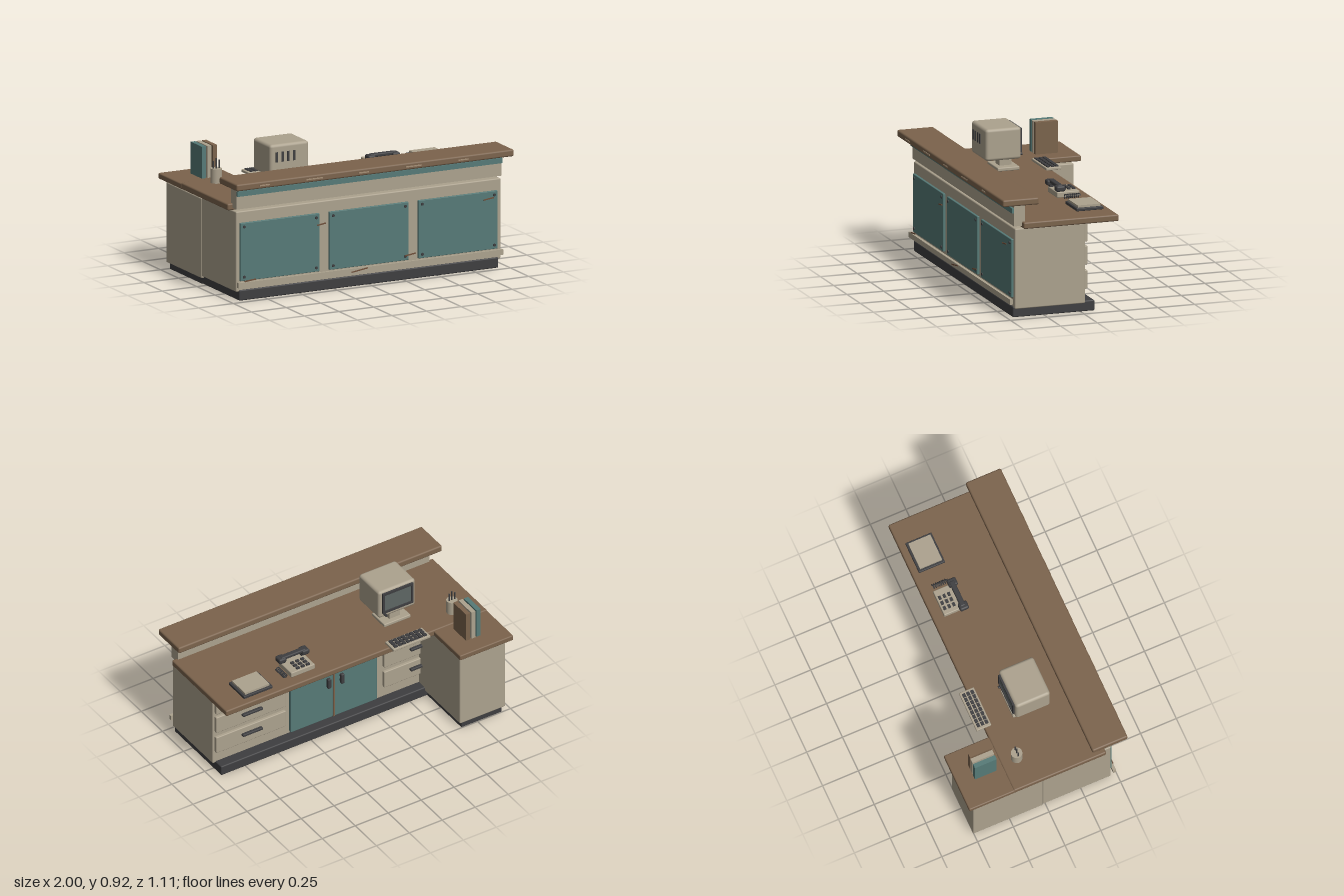
import * as THREE from 'three';
import { RoundedBoxGeometry } from 'three/addons/geometries/RoundedBoxGeometry.js';

const mat = (name, color) => Object.assign(new THREE.MeshStandardMaterial({ color }), { name });

export function createModel() {
  const root = new THREE.Group();
  root.name = 'receptionDesk';
  const wood = mat('brown wood', 0x7b634c);
  const beige = mat('beige laminate', 0xaca28e);
  const teal = mat('teal panel', 0x567a77);
  const dark = mat('charcoal plastic', 0x3e3e40);
  const screenGrey = mat('screen grey', 0x5d6663);
  const rust = mat('scuff brown', 0x6e4f3a);
  const pale = mat('pale scuff', 0xa58f76);

  // Box given by its extents; r > 0 bevels the edges
  function box(name, m, x0, x1, y0, y1, z0, z1, r = 0, parent = root) {
    const w = x1 - x0, h = y1 - y0, d = z1 - z0;
    const g = r ? new RoundedBoxGeometry(w, h, d, 2, r) : new THREE.BoxGeometry(w, h, d);
    const mesh = new THREE.Mesh(g, m);
    mesh.name = name;
    mesh.position.set((x0 + x1) / 2, (y0 + y1) / 2, (z0 + z1) / 2);
    parent.add(mesh);
    return mesh;
  }
  function cyl(name, m, r, h, x, y, z, sides = 16, parent = root) {
    const mesh = new THREE.Mesh(new THREE.CylinderGeometry(r, r, h, sides), m);
    mesh.name = name;
    mesh.position.set(x, y, z);
    parent.add(mesh);
    return mesh;
  }
  function group(name) {
    const g = new THREE.Group();
    g.name = name;
    root.add(g);
    return g;
  }

  // Plinths, cabinets and worktops
  box('plinth', dark, -0.935, 0.935, 0, 0.07, -0.095, 0.46, 0.008);
  box('wingPlinth', dark, -0.935, -0.63, 0, 0.05, -0.495, -0.05);
  box('cabinet', beige, -0.955, 0.955, 0.058, 0.587, -0.024, 0.453, 0.008);
  box('wingCabinet', beige, -0.955, -0.61, 0.043, 0.572, -0.51, -0.022, 0.008);
  box('worktop', wood, -0.99, 0.99, 0.588, 0.632, -0.24, 0.405, 0.01);
  box('wingWorktop', wood, -0.99, -0.585, 0.588, 0.626, -0.552, -0.23, 0.008);

  // Raised counter
  box('riser', beige, -0.955, 0.955, 0.604, 0.75, 0.385, 0.46);
  box('riserStripe', teal, -0.955, 0.955, 0.69, 0.724, 0.458, 0.474);
  box('raisedCounter', wood, -1, 1, 0.746, 0.792, 0.305, 0.55, 0.011);
  [-0.8, -0.44, -0.085, 0.275, 0.635].forEach((x, i) => {
    const half = i % 2 ? 0.058 : 0.037;
    box('counterScuff', pale, x - half, x + half, 0.764, 0.772, 0.547, 0.553);
  });

  // Front panels with corner bolts
  for (const x of [-0.645, -0.0025, 0.64]) {
    const g = group('frontPanel');
    box('panel', teal, x - 0.286, x + 0.286, 0.13, 0.512, 0.45, 0.468, 0.004, g);
    for (const sx of [-1, 1]) for (const y of [0.156, 0.486]) {
      cyl('bolt', dark, 0.01, 0.008, x + sx * 0.26, y, 0.469, 8, g).rotation.x = Math.PI / 2;
    }
  }
  box('bumperRail', beige, -0.955, 0.955, 0.09, 0.125, 0.468, 0.488);
  for (const [x, y, len, tilt] of [[-0.357, 0.444, 0.06, 0.14], [0.85, 0.47, 0.075, 0.12],
    [0.285, 0.17, 0.075, 0.14], [-0.87, 0.135, 0.08, 0.1], [-0.083, 0.11, 0.12, 0.14]]) {
    box('scuff', rust, x - len / 2, x + len / 2, y - 0.004, y + 0.004, 0.485, 0.49).rotation.z = tilt;
  }

  // Drawers and doors on the working side
  for (const x of [0.675, -0.6]) for (const y of [0.52, 0.37, 0.21]) {
    const g = group('drawer');
    box('drawerFront', beige, x - 0.265, x + 0.265, y - 0.062, y + 0.062, -0.045, -0.02, 0.006, g);
    box('drawerHandle', dark, x - 0.075, x + 0.075, y + 0.003, y + 0.021, -0.068, -0.044, 0.005, g);
  }
  for (const s of [-1, 1]) {
    const g = group('door'), x = 0.047 + s * 0.167;
    box('doorFront', teal, x - 0.16, x + 0.16, 0.08, 0.578, -0.043, -0.02, 0.004, g);
    const hx = 0.047 + s * 0.05;
    box('doorHandle', dark, hx - 0.012, hx + 0.012, 0.338, 0.412, -0.075, -0.05, 0.006, g);
    for (const y of [0.35, 0.385]) box('handlePost', dark, hx - 0.008, hx + 0.008, y, y + 0.014, -0.055, -0.042, 0, g);
  }
  box('doorDivider', wood, 0.04, 0.054, 0.08, 0.578, -0.047, -0.02);

  // Monitor, screen facing the working side
  const mon = group('monitor');
  box('monitorBase', beige, -0.535, -0.335, 0.632, 0.656, -0.045, 0.105, 0.006, mon);
  box('monitorNeck', beige, -0.475, -0.395, 0.65, 0.725, -0.01, 0.072, 0, mon);
  box('monitorCase', beige, -0.575, -0.295, 0.714, 0.924, -0.042, 0.2, 0.02, mon);
  box('screen', screenGrey, -0.54, -0.33, 0.765, 0.9, -0.046, -0.04, 0, mon);
  for (const y of [0.752, 0.893]) box('bezelBar', dark, -0.55, -0.32, y, y + 0.016, -0.054, -0.04, 0, mon);
  for (const x of [-0.55, -0.334]) box('bezelSide', dark, x, x + 0.014, 0.752, 0.909, -0.054, -0.04, 0, mon);
  cyl('monitorKnob', dark, 0.009, 0.022, -0.34, 0.737, -0.051, 10, mon).rotation.x = Math.PI / 2;
  for (let i = 0; i < 4; i++) {
    const x = -0.53 + i * 0.042;
    box('vent', dark, x - 0.008, x + 0.008, 0.808, 0.874, 0.197, 0.204, 0, mon);
  }

  // Keyboard
  const kb = group('keyboard');
  box('keyboardBody', beige, -0.525, -0.245, 0.634, 0.652, -0.295, -0.192, 0.004, kb);
  for (let r = 0; r < 3; r++) for (let c = 0; c < 8; c++) {
    const x = -0.495 + c * 0.0315, z = -0.272 + r * 0.029;
    box('key', dark, x - 0.0125, x + 0.0125, 0.65, 0.66, z - 0.01, z + 0.01, 0, kb);
  }

  // Telephone with handset and coiled cord
  const phone = group('telephone');
  box('phoneBody', beige, 0.27, 0.45, 0.632, 0.67, -0.168, -0.015, 0.006, phone);
  for (let r = 0; r < 3; r++) for (let c = 0; c < 3; c++) {
    const x = 0.313 + c * 0.038, z = -0.147 + r * 0.032;
    box('phoneKey', dark, x - 0.012, x + 0.012, 0.668, 0.68, z - 0.009, z + 0.009, 0, phone);
  }
  box('handsetGrip', dark, 0.265, 0.45, 0.694, 0.718, -0.056, -0.02, 0.008, phone);
  for (const x of [0.27, 0.445]) {
    box('handsetEnd', dark, x - 0.027, x + 0.027, 0.676, 0.714, -0.066, -0.004, 0.012, phone);
    box('cradle', dark, x - 0.012 + (0.357 - x) * 0.2, x + 0.012 + (0.357 - x) * 0.2, 0.664, 0.682, -0.05, -0.02, 0, phone);
  }
  const coil = [];
  for (let i = 0; i <= 64; i++) {
    const a = i / 64 * Math.PI * 16;
    coil.push(new THREE.Vector3(0.485 + 0.014 * Math.cos(a), 0.649 + 0.012 * Math.sin(a), -0.155 + 0.105 * i / 64));
  }
  const cord = new THREE.Mesh(new THREE.TubeGeometry(new THREE.CatmullRomCurve3(coil), 160, 0.004, 5), dark);
  cord.name = 'phoneCord';
  phone.add(cord);

  // Paper tray
  const tray = group('paperTray');
  box('trayBase', dark, 0.608, 0.826, 0.632, 0.652, -0.194, -0.012, 0.004, tray);
  box('paperStack', beige, 0.624, 0.81, 0.645, 0.667, -0.18, -0.026, 0, tray);

  // Pen cup
  const cup = group('penCup');
  cyl('cup', beige, 0.037, 0.094, -0.79, 0.679, -0.134, 20, cup);
  [[-0.812, 0.775], [-0.79, 0.792], [-0.769, 0.78]].forEach(([x, top]) =>
    cyl('pen', dark, 0.005, top - 0.7, x, (top + 0.7) / 2, -0.133, 8, cup));

  // Upright books
  [teal, beige, wood].forEach((m, i) => {
    const x = -0.815 + i * 0.04;
    box('book', m, x, x + 0.031, 0.625, 0.836, -0.436, -0.284);
  });

  return root;
}
